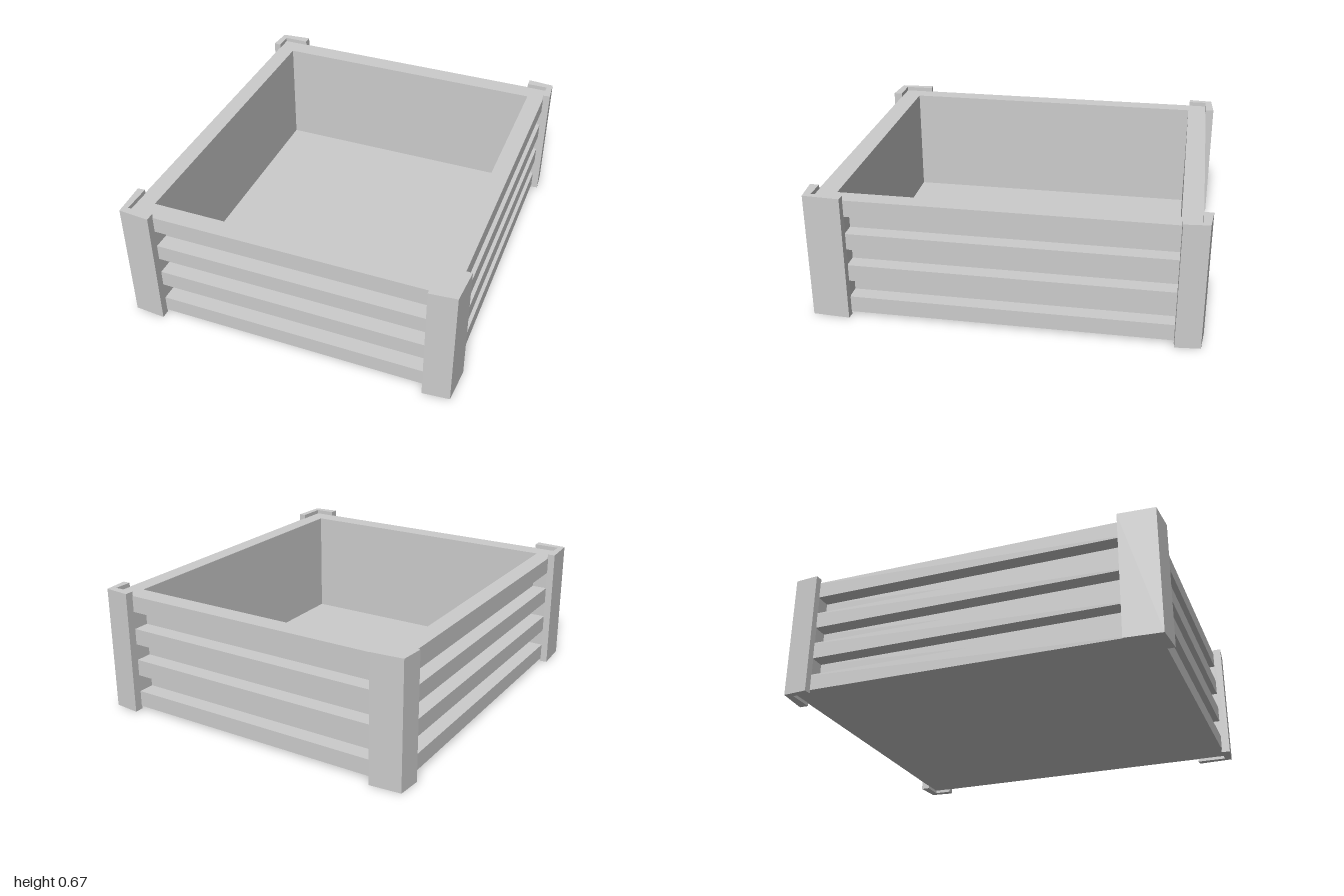
import * as THREE from 'three';

const HALF_X = 0.853, HALF_Z = 0.955;      // outer slat faces
const CORE_X = 0.77, CORE_Z = 0.866;       // recessed wall between slats
const IN_X = 0.76, IN_Z = 0.85;            // inner cavity
const LEFT = 0.737, RIGHT = -0.712;        // where front and back posts end
const FRONT = 0.795, BACK = -0.858;        // where side posts end

const material = new THREE.MeshStandardMaterial({ color: 0xcccccc, flatShading: true });

const rectangle = (x, z) => [[-x, -z], [x, -z], [x, z], [-x, z]];

// Upright prism from a plan outline of [x, z] points; a hole runs the opposite way round
function prism(name, outline, y0, y1, hole) {
  const toPoints = (list) => list.map(([x, z]) => new THREE.Vector2(x, -z));
  const shape = new THREE.Shape(toPoints(outline));
  if (hole) shape.holes.push(new THREE.Path(toPoints(hole).reverse()));
  const geometry = new THREE.ExtrudeGeometry(shape, { depth: y1 - y0, bevelEnabled: false });
  geometry.rotateX(-Math.PI / 2);
  const mesh = new THREE.Mesh(geometry, material);
  mesh.position.y = y0;
  mesh.name = name;
  return mesh;
}

// L-shaped corner post, slightly flared along its side leg
function cornerPost(sx, sz) {
  const endX = sx > 0 ? LEFT : -RIGHT;
  const endZ = sz > 0 ? FRONT : -BACK;
  const outline = [
    [endX, 1.0], [0.879, 0.987], [0.89, endZ],
    [HALF_X - 0.003, endZ - 0.003], [HALF_X - 0.003, HALF_Z - 0.003], [endX, HALF_Z - 0.003],
  ].map(([x, z]) => [x * sx, z * sz]);
  const name = `${sz > 0 ? 'front' : 'back'}${sx > 0 ? 'Left' : 'Right'}Post`;
  return prism(name, outline, 0, 0.668);
}

export function createModel() {
  const model = new THREE.Group();
  model.name = 'slattedPlanter';

  const cavity = rectangle(IN_X, IN_Z);
  const slat = rectangle(HALF_X, HALF_Z);

  // Gap layers step inward between the posts but stay full at the corners
  const gap = [
    [-HALF_X, -HALF_Z], [RIGHT, -HALF_Z], [RIGHT, -CORE_Z], [LEFT, -CORE_Z], [LEFT, -HALF_Z],
    [HALF_X, -HALF_Z], [HALF_X, BACK], [CORE_X, BACK], [CORE_X, FRONT], [HALF_X, FRONT],
    [HALF_X, HALF_Z], [LEFT, HALF_Z], [LEFT, CORE_Z], [RIGHT, CORE_Z], [RIGHT, HALF_Z],
    [-HALF_X, HALF_Z], [-HALF_X, FRONT], [-CORE_X, FRONT], [-CORE_X, BACK], [-HALF_X, BACK],
  ];

  // Slats and gaps alternate up the wall
  const levels = [0.017, 0.104, 0.197, 0.286, 0.375, 0.462, 0.557, 0.645];
  for (let i = 0; i < levels.length - 1; i++) {
    const isSlat = i % 2 === 0;
    model.add(prism(isSlat ? 'slatRing' : 'recessedWall', isSlat ? slat : gap,
      levels[i], levels[i + 1], cavity));
  }

  // Floor inside the walls
  model.add(prism('floor', cavity, levels[0], 0.04));

  // Corner posts
  for (const sx of [-1, 1]) for (const sz of [-1, 1]) model.add(cornerPost(sx, sz));

  return model;
}
